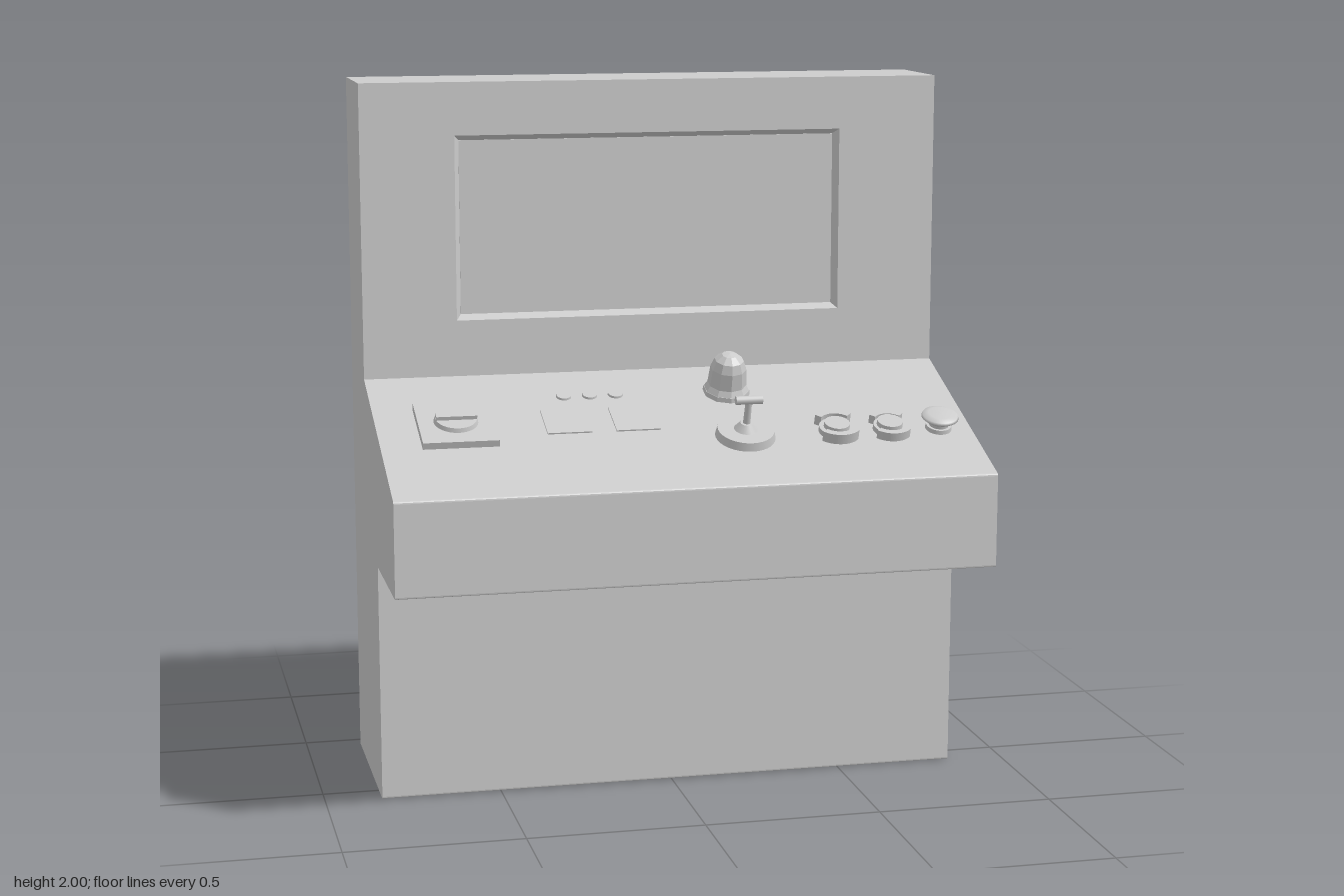
import * as THREE from 'three';

const mat = new THREE.MeshStandardMaterial({ color: 0xcccccc });
const flatMat = new THREE.MeshStandardMaterial({ color: 0xcccccc, flatShading: true });

const HALF_W = 0.84;
const FRONT_Z = -0.16;   // face of the upper cabinet
const SCREEN_Z = -0.185; // bottom of the screen recess
const TILT = Math.atan2(1.165 - 0.94, 0.62);
const slopeY = z => 0.94 + (0.46 - z) * Math.tan(TILT);

function add(parent, name, geometry, x = 0, y = 0, z = 0, material = mat) {
  const mesh = new THREE.Mesh(geometry, material);
  mesh.name = name;
  mesh.position.set(x, y, z);
  parent.add(mesh);
  return mesh;
}

const box = (w, h, d) => new THREE.BoxGeometry(w, h, d);
const cyl = (rTop, rBottom, h, n = 32) => new THREE.CylinderGeometry(rTop, rBottom, h, n);
const lathe = (pts, n) => new THREE.LatheGeometry(pts.map(p => new THREE.Vector2(...p)), n);

// Outline with rounded corners; each point is [x, y, radius]
function roundedOutline(pts) {
  const shape = new THREE.Shape();
  pts.forEach(([x, y, r], i) => {
    const p = new THREE.Vector2(x, y);
    const toward = q => new THREE.Vector2(q[0], q[1]).sub(p).setLength(r).add(p);
    const a = toward(pts[(i + pts.length - 1) % pts.length]);
    const b = toward(pts[(i + 1) % pts.length]);
    if (i) shape.lineTo(a.x, a.y); else shape.moveTo(a.x, a.y);
    if (r) shape.quadraticCurveTo(x, y, b.x, b.y);
  });
  return shape;
}

function rectangle(C, x0, y0, x1, y1) {
  return new C([[x0, y0], [x1, y0], [x1, y1], [x0, y1]].map(p => new THREE.Vector2(...p)));
}

function buildCabinet(root) {
  // Side profile, drawn as (z, y) and swept across the width
  const r = 0.006;
  const outline = roundedOutline([
    [-0.46, 0, r], [0.08, 0, r], [0.08, 0.675, 0], [0.46, 0.675, r], [0.46, 0.94, r],
    [FRONT_Z, 1.165, 0], [SCREEN_Z, 1.165, 0], [SCREEN_Z, 2, 0], [-0.46, 2, r],
  ]);
  const body = new THREE.ExtrudeGeometry(outline, { depth: HALF_W * 2, bevelEnabled: false, curveSegments: 3 });
  body.rotateY(-Math.PI / 2).translate(HALF_W, 0, 0);
  add(root, 'cabinetBody', body);

  // Upper front panel with the screen opening
  const panel = rectangle(THREE.Shape, -HALF_W, 1.165, HALF_W, 2);
  const [x0, y0, x1, y1] = [-0.572, 1.325, 0.554, 1.85];
  panel.holes.push(rectangle(THREE.Path, x0, y0, x1, y1));
  add(root, 'screenSurround',
    new THREE.ExtrudeGeometry(panel, { depth: FRONT_Z - SCREEN_Z, bevelEnabled: false }), 0, 0, SCREEN_Z);

  // Sloping sides of the recess
  const s = 0.015;
  const outer = [[x0, y0], [x1, y0], [x1, y1], [x0, y1]];
  const inner = [[x0 + s, y0 + s], [x1 - s, y0 + s], [x1 - s, y1 - s], [x0 + s, y1 - s]];
  const pos = [];
  for (let i = 0; i < 4; i++) {
    const j = (i + 1) % 4;
    const a = [...outer[i], FRONT_Z], b = [...outer[j], FRONT_Z];
    const c = [...inner[j], SCREEN_Z], d = [...inner[i], SCREEN_Z];
    pos.push(...a, ...b, ...c, ...a, ...c, ...d);
  }
  const frame = new THREE.BufferGeometry();
  frame.setAttribute('position', new THREE.Float32BufferAttribute(pos, 3));
  frame.computeVertexNormals();
  add(root, 'screenFrame', frame);
  add(root, 'screen', box(x1 - x0 - 2 * s, y1 - y0 - 2 * s, 0.004), (x0 + x1) / 2, (y0 + y1) / 2, SCREEN_Z);
}

// Group standing on the sloped desk, its y axis along the desk normal
function onDesk(root, name, x, z) {
  const g = new THREE.Group();
  g.name = name;
  g.position.set(x, slopeY(z), z);
  g.rotation.x = TILT;
  root.add(g);
  return g;
}

// Round push button between two curved guards
function guardedButton(root, x, z, size, height) {
  const g = onDesk(root, 'guardedButton', x, z);
  const half = 0.85;
  const arc = new THREE.Shape();
  arc.absarc(0, 0, 0.07 * size, Math.PI / 2 - half, Math.PI / 2 + half, false);
  arc.absarc(0, 0, 0.05 * size, Math.PI / 2 + half, Math.PI / 2 - half, true);
  const guard = new THREE.ExtrudeGeometry(arc, { depth: height, bevelEnabled: false, curveSegments: 12 });
  guard.rotateX(-Math.PI / 2);
  for (const turn of [0, Math.PI]) add(g, 'buttonGuard', guard).rotation.y = turn;
  add(g, 'buttonCollar', cyl(0.05 * size, 0.05 * size, 0.016), 0, 0.008, 0);
  add(g, 'buttonCap', cyl(0.036, 0.038, 0.03), 0, 0.015, 0);
}

function buildControls(root) {
  // Rotary switch on a square plate
  const rotary = onDesk(root, 'rotarySwitch', -0.62, 0.11);
  add(rotary, 'switchPlate', box(0.212, 0.02, 0.22), 0, 0.01, 0);
  add(rotary, 'switchDial', cyl(0.058, 0.062, 0.012), 0, 0.026, 0);
  add(rotary, 'switchGrip', box(0.114, 0.014, 0.024), 0, 0.036, 0);

  // Flat key pads and indicator lamps
  for (const x of [-0.308, -0.113]) {
    add(onDesk(root, 'keyPad', x, 0.103), 'pad', box(0.126, 0.008, 0.13));
  }
  for (const x of [-0.29, -0.215, -0.14]) {
    add(onDesk(root, 'indicatorLamp', x, -0.028), 'lamp', cyl(0.021, 0.023, 0.012, 20));
  }

  // Faceted beacon
  const beacon = onDesk(root, 'beacon', 0.183, -0.02);
  add(beacon, 'beaconBase', cyl(0.066, 0.068, 0.014, 10), 0, 0.007, 0, flatMat);
  add(beacon, 'beaconDome', lathe([[0.066, 0.012], [0.056, 0.03], [0.052, 0.08],
    [0.042, 0.106], [0.022, 0.122], [0, 0.126]], 10), 0, 0, 0, flatMat);

  // Lever on a round base with a short cross grip
  const lever = onDesk(root, 'lever', 0.18, 0.215);
  add(lever, 'leverBase', cyl(0.08, 0.085, 0.024), 0, 0.012, 0);
  add(lever, 'leverCollar', cyl(0.018, 0.034, 0.02, 24), 0, 0.034, 0);
  add(lever, 'leverStick', cyl(0.009, 0.011, 0.1, 16), 0, 0.07, 0);
  add(lever, 'leverGrip', cyl(0.012, 0.012, 0.076, 16), 0, 0.116, 0).rotation.z = Math.PI / 2;

  guardedButton(root, 0.445, 0.212, 1, 0.03);
  guardedButton(root, 0.6, 0.214, 0.93, 0.026);

  // Mushroom button
  const mushroom = onDesk(root, 'mushroomButton', 0.745, 0.217);
  add(mushroom, 'mushroomCollar', cyl(0.036, 0.038, 0.012), 0, 0.006, 0);
  add(mushroom, 'mushroomStem', cyl(0.028, 0.028, 0.03), 0, 0.02, 0);
  add(mushroom, 'mushroomCap', lathe([[0, 0.03], [0.044, 0.03], [0.053, 0.037],
    [0.05, 0.044], [0.034, 0.05], [0, 0.051]], 32));
}

export function createModel() {
  const root = new THREE.Group();
  root.name = 'controlCabinet';
  buildCabinet(root);
  buildControls(root);
  return root;
}
